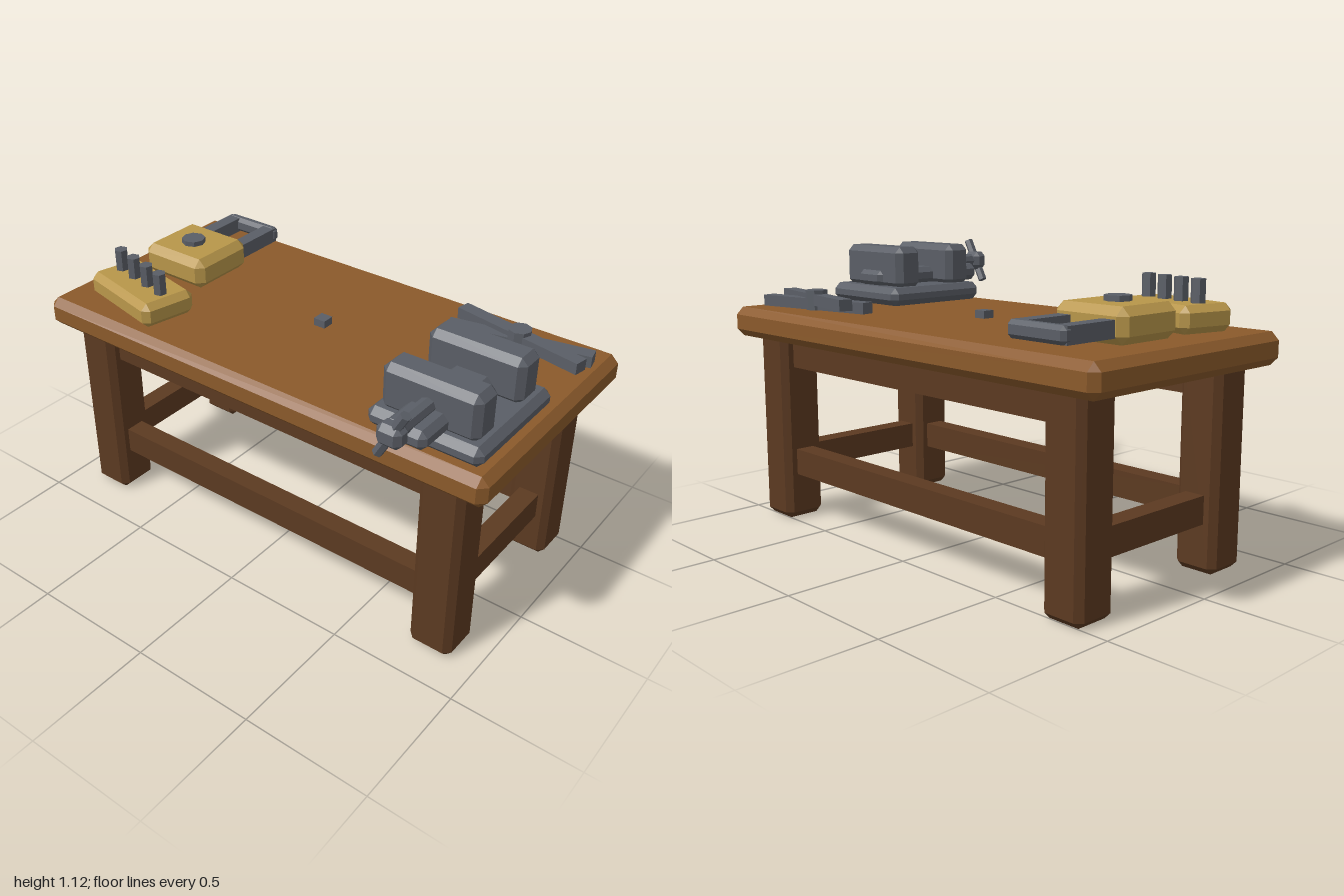
import * as THREE from 'three';
import { ConvexGeometry } from 'three/addons/geometries/ConvexGeometry.js';

const flat = (name, color) => {
  const m = new THREE.MeshStandardMaterial({ color });
  m.name = name;
  return m;
};

// Box with all twelve edges cut at 45 degrees
function chamferBox(w, h, d, c) {
  const pts = [];
  for (const sx of [-1, 1]) for (const sy of [-1, 1]) for (const sz of [-1, 1]) {
    const x = w / 2, y = h / 2, z = d / 2;
    pts.push(
      new THREE.Vector3(sx * x, sy * (y - c), sz * (z - c)),
      new THREE.Vector3(sx * (x - c), sy * y, sz * (z - c)),
      new THREE.Vector3(sx * (x - c), sy * (y - c), sz * z));
  }
  return new ConvexGeometry(pts);
}

export function createModel() {
  const root = new THREE.Group();
  root.name = 'workbench';
  const topWood = flat('topWood', 0x8b5a2b);
  const darkWood = flat('darkWood', 0x5c3a21);
  const iron = flat('iron', 0x5a5e66);
  const brass = flat('brass', 0xb8964a);

  const group = (name) => {
    const g = new THREE.Group();
    g.name = name;
    root.add(g);
    return g;
  };
  const add = (parent, name, geometry, material, x, y, z) => {
    const m = new THREE.Mesh(geometry, material);
    m.name = name;
    m.position.set(x, y, z);
    parent.add(m);
    return m;
  };
  // Box given by its ranges along each axis; c is the chamfer, 0 for sharp edges
  const block = (parent, name, material, [x0, x1], [y0, y1], [z0, z1], c = 0) => {
    const w = x1 - x0, h = y1 - y0, d = z1 - z0;
    const g = c ? chamferBox(w, h, d, c) : new THREE.BoxGeometry(w, h, d);
    return add(parent, name, g, material, (x0 + x1) / 2, (y0 + y1) / 2, (z0 + z1) / 2);
  };
  const rod = (r, h, sides) => new THREE.CylinderGeometry(r, r, h, sides).toNonIndexed();
  const flatRod = (r, h, sides) => {
    const g = rod(r, h, sides);
    g.computeVertexNormals();
    return g;
  };

  // Table: top, four legs, aprons and stretchers
  const table = group('table');
  block(table, 'tableTop', topWood, [-1, 1], [0.755, 0.875], [-0.58, 0.415], 0.03);
  const legX = 0.8125, legZ = [0.2725, -0.4325];
  for (const z of legZ) {
    for (const s of [-1, 1])
      add(table, 'leg', chamferBox(0.175, 0.78, 0.175, 0.025), darkWood, s * legX, 0.39, z);
    block(table, 'apron', darkWood, [-0.74, 0.74], [0.64, 0.76], [z - 0.04, z + 0.04]);
    block(table, 'longStretcher', darkWood, [-0.74, 0.74], [0.188, 0.295], [z - 0.04, z + 0.04]);
  }
  for (const s of [-1, 1])
    block(table, 'sideStretcher', darkWood, [s * legX - 0.04, s * legX + 0.04], [0.188, 0.295], [-0.36, 0.2]);

  // Bench vise: base, slide, two jaws, screw and handle
  const vise = group('vise');
  block(vise, 'viseBase', iron, [0.515, 0.955], [0.875, 0.95], [-0.11, 0.375], 0.025);
  block(vise, 'viseSlide', iron, [0.655, 0.815], [0.945, 1.017], [-0.073, 0.488], 0.022);
  for (const z of [-0.055, 0.22])
    block(vise, 'viseJaw', iron, [0.55, 0.922], [0.94, 1.115], [z, z + 0.125], 0.025);
  add(vise, 'viseScrew', flatRod(0.03, 0.26, 8), iron, 0.735, 1.025, 0.42).rotation.x = Math.PI / 2;
  block(vise, 'screwHead', iron, [0.688, 0.782], [0.985, 1.065], [0.51, 0.58], 0.02);
  add(vise, 'viseHandle', flatRod(0.019, 0.2, 6), iron, 0.735, 1.025, 0.548).rotation.z = -0.5;

  // Padlock: body, keyhole boss and shackle
  const lock = group('padlock');
  block(lock, 'lockBody', brass, [-0.86, -0.545], [0.875, 1], [-0.288, 0.008], 0.03);
  add(lock, 'keyBoss', flatRod(0.048, 0.04, 8), iron, -0.703, 1, -0.13);
  for (const x of [-0.798, -0.608])
    block(lock, 'shackleArm', iron, [x - 0.028, x + 0.028], [0.9, 0.96], [-0.51, -0.27]);
  block(lock, 'shackleBar', iron, [-0.83, -0.575], [0.9, 0.962], [-0.53, -0.482], 0.015);

  // Brass block holding four pegs
  const holder = group('pegHolder');
  holder.position.set(-0.665, 0.875, 0.215);
  holder.rotation.y = -0.22;
  add(holder, 'holderBlock', chamferBox(0.4, 0.1, 0.23, 0.025), brass, 0, 0.05, 0);
  for (let i = 0; i < 4; i++)
    add(holder, 'peg', flatRod(0.027, 0.12, 6), iron, (i - 1.5) * 0.09, 0.125, 0);

  // Tongs: two crossed bars on a pivot
  const tongs = group('tongs');
  tongs.position.set(0.675, 0.875, -0.385);
  for (const s of [-1, 1])
    add(tongs, 'tongsBar', new THREE.BoxGeometry(0.555, 0.045, 0.055), iron,
      0, s < 0 ? 0.042 : 0.023, 0).rotation.y = s * 0.19;
  add(tongs, 'tongsPivot', flatRod(0.045, 0.08, 8), iron, 0, 0.04, 0);

  // Small loose iron piece
  block(root, 'ironPiece', iron, [-0.025, 0.025], [0.873, 0.905], [-0.108, -0.058]);

  return root;
}
